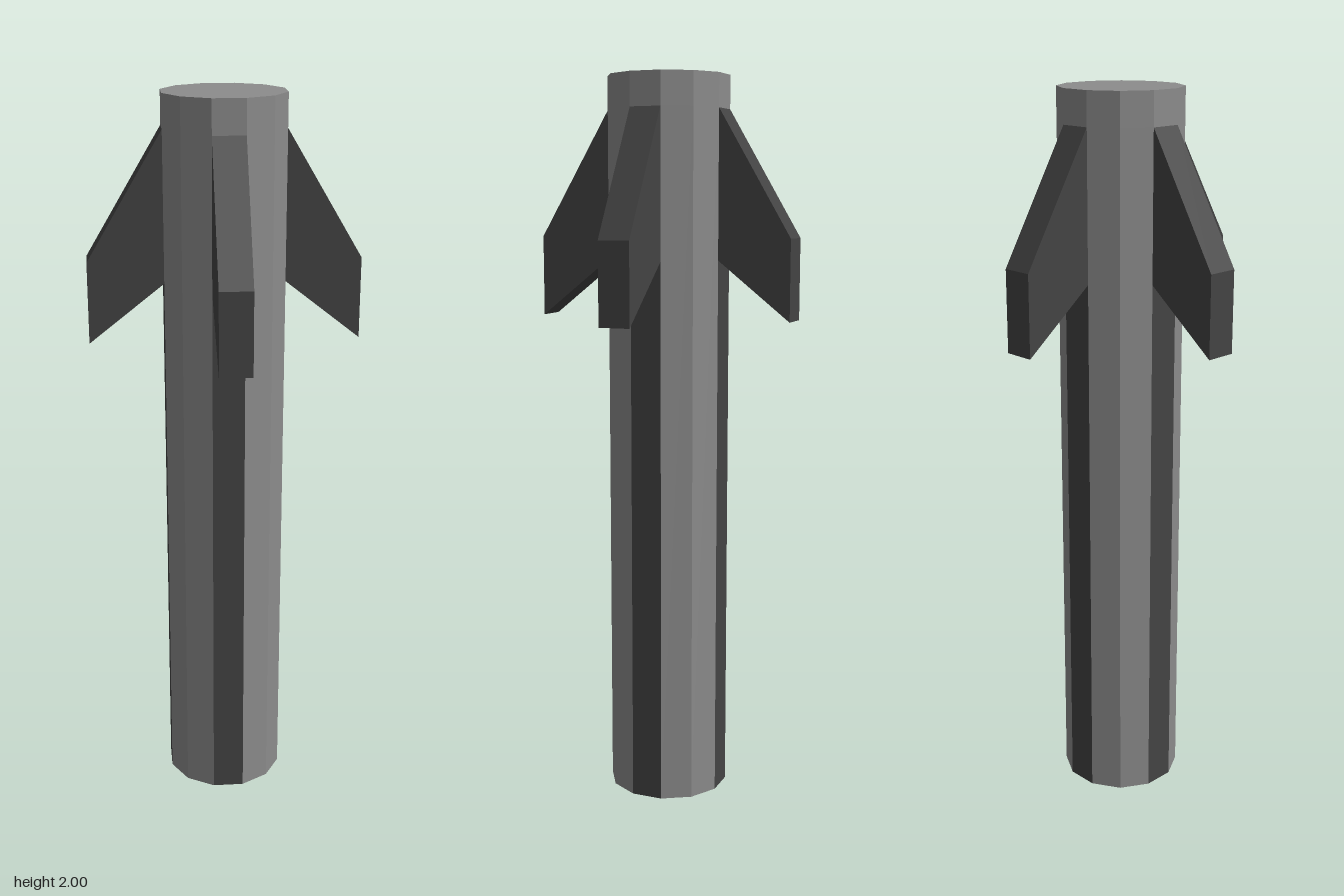
import * as THREE from 'three';

const RADIUS = 0.167, HEIGHT = 2, FIN_TOP = 1.91;
const STEP = Math.PI / 6; // twelve-sided body
const FACE_WIDTH = 2 * RADIUS * Math.sin(STEP / 2);
const APOTHEM = RADIUS * Math.cos(STEP / 2);

export function createModel() {
  const group = new THREE.Group();
  const grey = new THREE.MeshStandardMaterial({ color: 0x8c8c8c, flatShading: true });
  const dark = new THREE.MeshStandardMaterial({ color: 0x444444, flatShading: true });

  const add = (name, geometry, material) => {
    const mesh = new THREE.Mesh(geometry, material);
    mesh.name = name;
    group.add(mesh);
    return mesh;
  };

  // A section of the body wall made of whole flat sides
  const wall = (name, y0, y1, firstSide, sides, material) => {
    const geometry = new THREE.CylinderGeometry(
      RADIUS, RADIUS, y1 - y0, sides, 1, true, firstSide * STEP, sides * STEP);
    add(name, geometry.translate(0, (y0 + y1) / 2, 0), material);
  };

  // Collar above the fins, and the two end caps
  wall('collar', FIN_TOP, HEIGHT, 0, 12, grey);
  add('topCap', new THREE.CircleGeometry(RADIUS, 12).rotateX(-Math.PI / 2), grey).position.y = HEIGHT;
  add('bottomCap', new THREE.CircleGeometry(RADIUS, 12).rotateX(Math.PI / 2), grey);

  // Swept fin, extruded to the width of one body side
  const profile = new THREE.Shape([
    [APOTHEM, FIN_TOP], [APOTHEM, 1.51], [0.364, 1.35], [0.364, 1.57],
  ].map(([r, y]) => new THREE.Vector2(r, y)));
  const finGeometry = new THREE.ExtrudeGeometry(profile, { depth: FACE_WIDTH, bevelEnabled: false });
  finGeometry.translate(0, 0, -FACE_WIDTH / 2);

  // Each quarter: two grey sides, one dark side and its fin
  for (let i = 0; i < 4; i++) {
    wall('bodyPanel', 0, FIN_TOP, 3 * i - 1, 2, grey);
    wall('darkStripe', 0, FIN_TOP, 3 * i + 1, 1, dark);
    add('fin', finGeometry, dark).rotation.y = Math.PI / 4 + i * Math.PI / 2;
  }
  return group;
}
